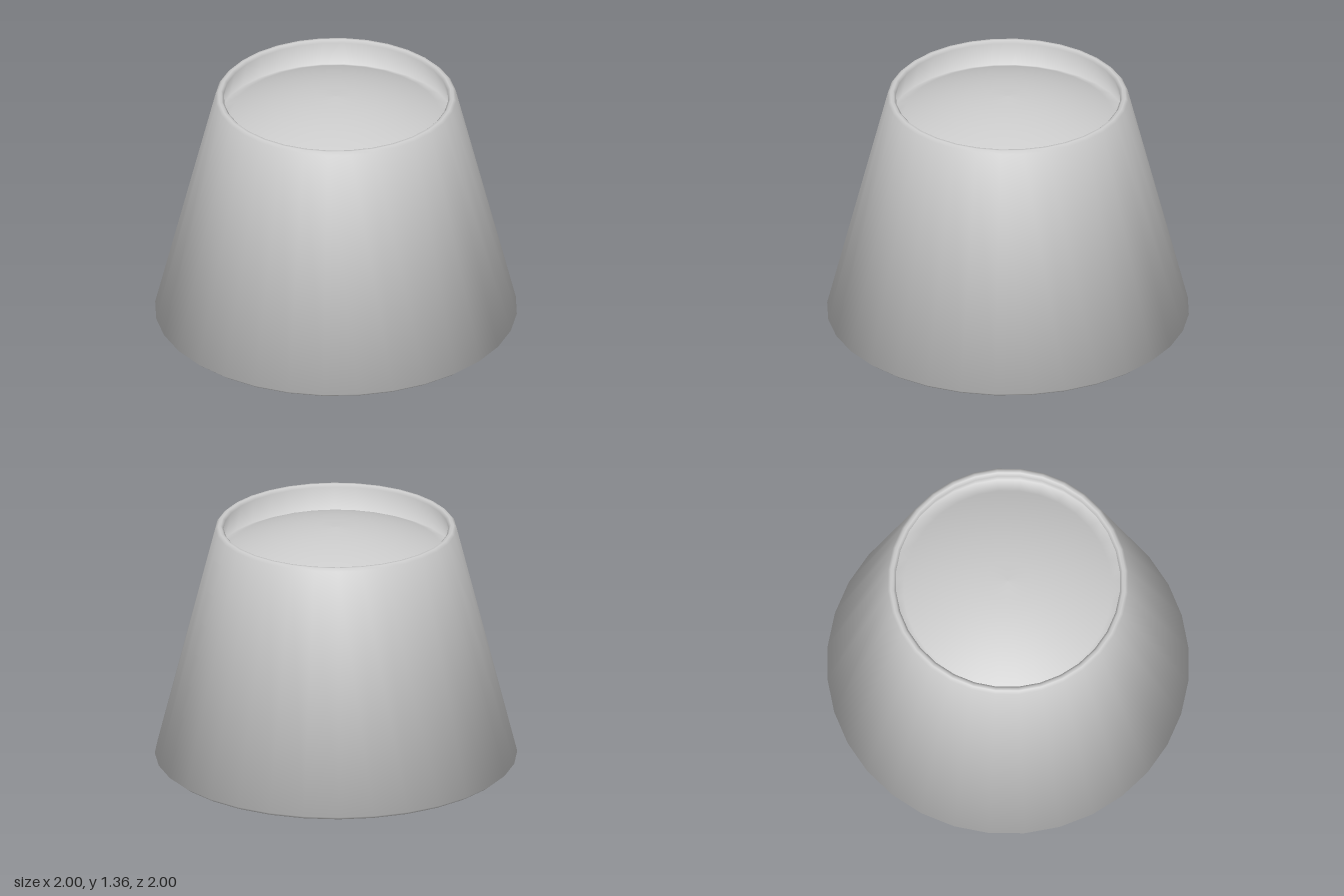
import * as THREE from 'three';

// Revolve a profile with evenly averaged normals, so the small bevels shade softly
function revolve(profile, segments) {
  const pts = profile.map(([x, y]) => new THREE.Vector2(x, y));
  const geo = new THREE.LatheGeometry(pts, segments);
  const edges = pts.slice(1).map((p, i) => new THREE.Vector2(p.y - pts[i].y, pts[i].x - p.x).normalize());
  const normal = geo.attributes.normal;
  for (let s = 0; s <= segments; s++) {
    const a = (s / segments) * Math.PI * 2;
    pts.forEach((p, i) => {
      const before = edges[Math.max(i - 1, 0)];
      const after = edges[Math.min(i, edges.length - 1)];
      const n = before.clone().add(after).normalize();
      normal.setXYZ(s * pts.length + i, n.x * Math.sin(a), n.y, n.x * Math.cos(a));
    });
  }
  return geo;
}

// Shallow dome profile from the axis out to the given radius
function dome(radius, apexY, edgeY) {
  const steps = [0, 0.18, 0.36, 0.54, 0.72, 0.88, 1];
  return steps.map((t) => [t * radius, apexY + (edgeY - apexY) * t * t]);
}

export function createModel() {
  const group = new THREE.Group();
  group.name = 'taperedShade';
  const material = new THREE.MeshStandardMaterial({ color: 0xcccccc });

  const profile = [
    // domed underside, almost level with the lower rim
    ...dome(0.865, 0.004, 0.2),
    // lower rim
    [0.925, 0.015], [0.94, 0], [0.975, 0], [1, 0.02],
    // sloping wall and upper rim
    [0.665, 1.345], [0.65, 1.36], [0.635, 1.36], [0.62, 1.345],
    // domed top, almost level with the upper rim
    ...dome(0.655, 1.353, 1.193).reverse(),
  ];
  const body = new THREE.Mesh(revolve(profile, 32), material);
  body.name = 'shadeBody';
  group.add(body);
  return group;
}
